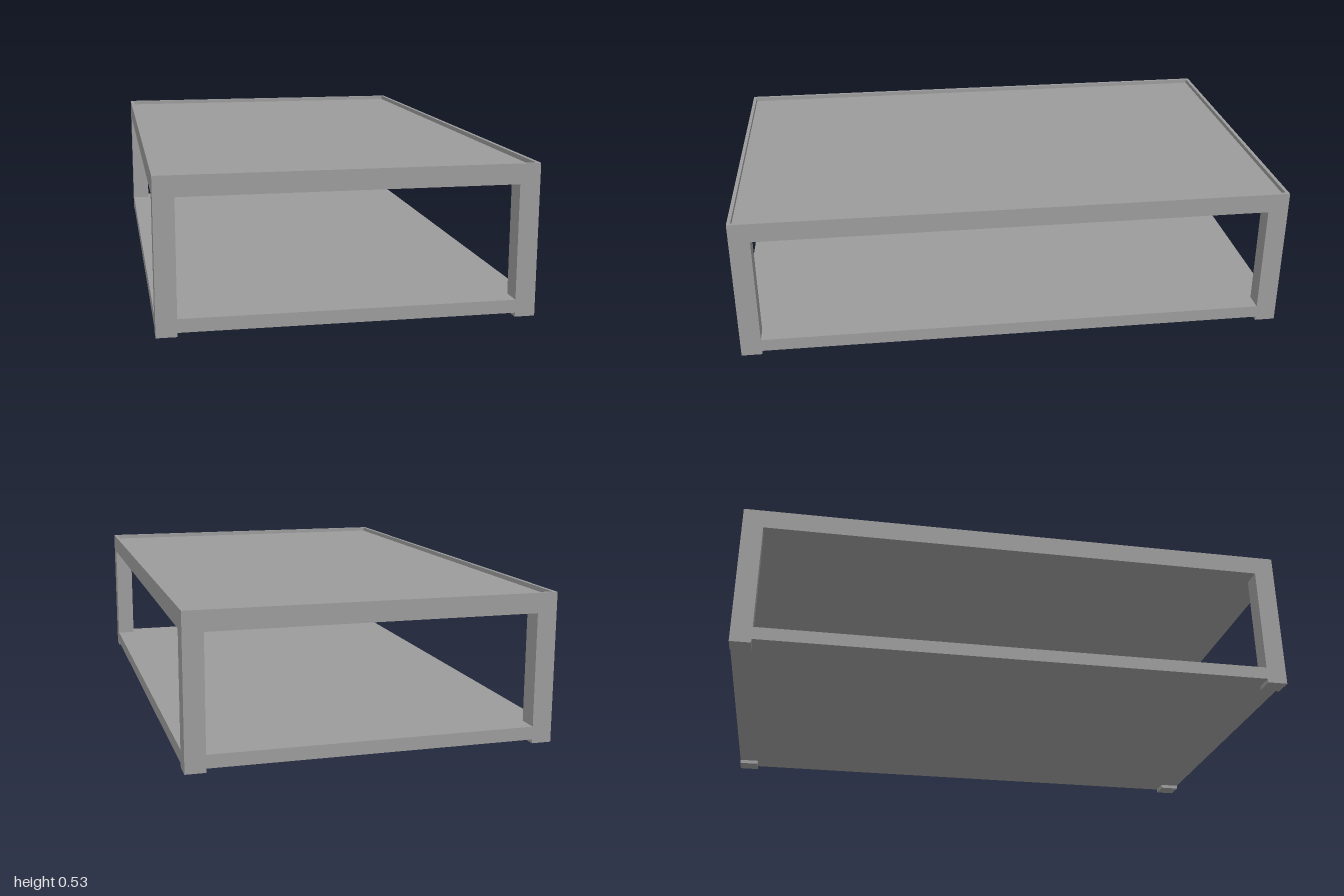
import * as THREE from 'three';

const W = 1.28, L = 2, H = 0.528;      // overall width, length, height
const LEG_X = 0.07, LEG_Z = 0.074;     // leg section
const APRON = 0.458;                   // underside of the table top
const RIM = 0.013, RECESS = 0.016;     // raised lip around the top panel

const material = new THREE.MeshStandardMaterial({ color: 0x9b9b9b });

function add(group, name, geometry, x = 0, y = 0, z = 0) {
  const mesh = new THREE.Mesh(geometry, material);
  mesh.name = name;
  mesh.position.set(x, y, z);
  group.add(mesh);
}

// Closed outline of a w by l rectangle
function rectangle(Type, w, l) {
  const x = w / 2, y = l / 2;
  return new Type([[-x, -y], [x, -y], [x, y], [-x, y]].map(([a, b]) => new THREE.Vector2(a, b)));
}

// Outline of the table with its four leg corners cut out
function notchedRectangle() {
  const x = W / 2, y = L / 2, u = x - LEG_X, v = y - LEG_Z;
  return new THREE.Shape([
    [-u, -y], [u, -y], [u, -v], [x, -v], [x, v], [u, v],
    [u, y], [-u, y], [-u, v], [-x, v], [-x, -v], [-u, -v],
  ].map(([a, b]) => new THREE.Vector2(a, b)));
}

// Flat slab lying in the xz plane between two heights
function slab(shape, bottom, top) {
  return new THREE.ExtrudeGeometry(shape, { depth: top - bottom, bevelEnabled: false })
    .rotateX(-Math.PI / 2)
    .translate(0, bottom, 0);
}

export function createModel() {
  const table = new THREE.Group();
  table.name = 'coffeeTable';

  // Top frame with a slightly sunken panel
  const innerW = W - 2 * RIM, innerL = L - 2 * RIM;
  const frame = rectangle(THREE.Shape, W, L);
  frame.holes.push(rectangle(THREE.Path, innerW, innerL));
  add(table, 'topFrame', slab(frame, APRON, H));
  add(table, 'topPanel', slab(rectangle(THREE.Shape, innerW, innerL), APRON, H - RECESS));

  // Lower shelf, notched around the legs
  add(table, 'lowerShelf', slab(notchedRectangle(), 0.014, 0.06));

  // Corner legs
  for (const [sx, side] of [[1, 'Left'], [-1, 'Right']]) {
    for (const [sz, end] of [[1, 'front'], [-1, 'back']]) {
      add(table, `${end}${side}Leg`, new THREE.BoxGeometry(LEG_X, APRON, LEG_Z),
        sx * (W - LEG_X) / 2, APRON / 2, sz * (L - LEG_Z) / 2);
    }
  }
  return table;
}
